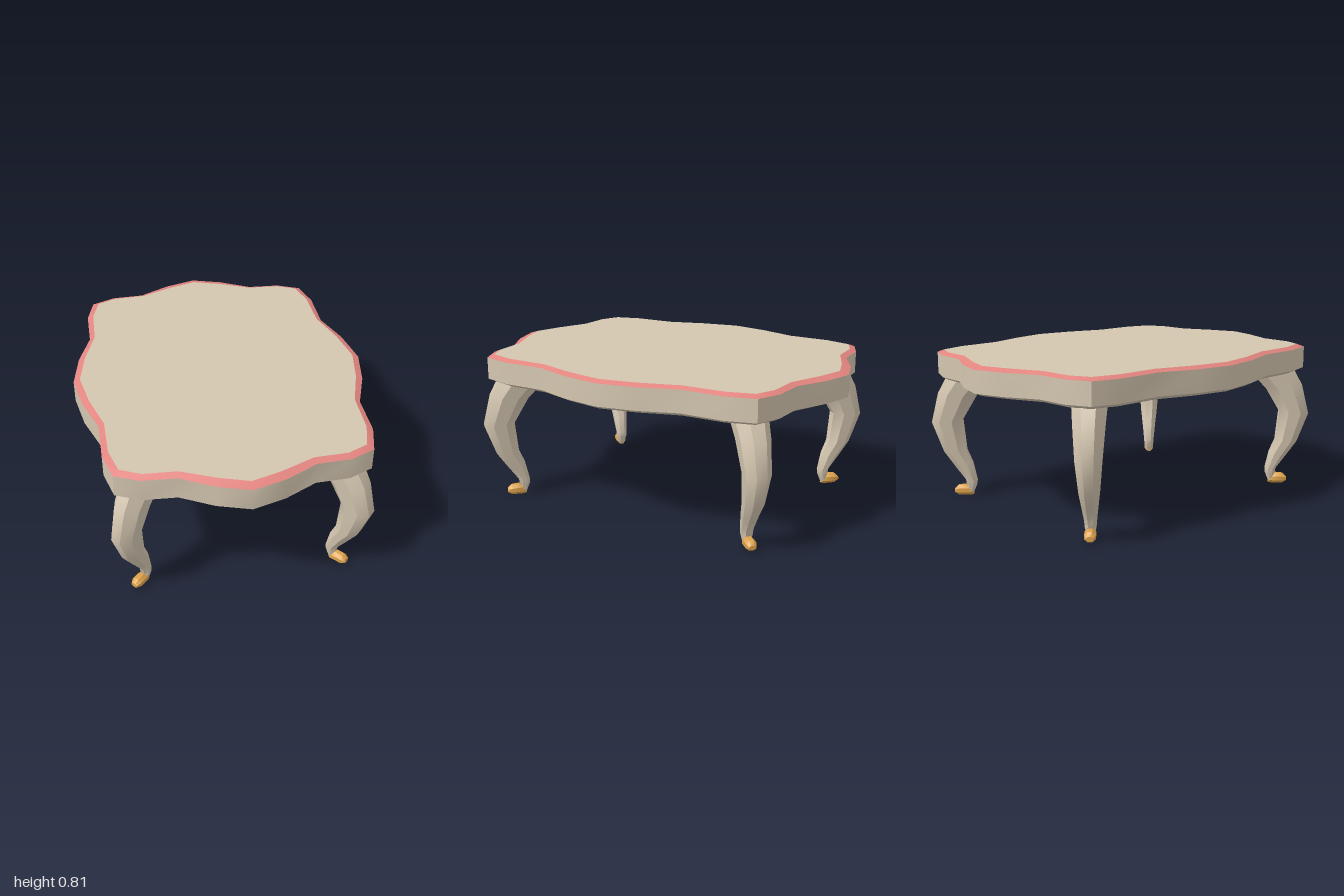
import * as THREE from 'three';
import { toCreasedNormals } from 'three/addons/utils/BufferGeometryUtils.js';

const mat = (name, color) => {
  const m = new THREE.MeshStandardMaterial({ color });
  m.name = name;
  return m;
};

// Skin a list of equal-length rings; each ring runs counterclockwise about the direction of travel.
function loft(rings, capStart, capEnd, crease = 0.6) {
  const pos = [];
  const tri = (a, b, c) => pos.push(...a, ...b, ...c);
  const n = rings[0].length;
  for (let k = 0; k + 1 < rings.length; k++) {
    const a = rings[k], b = rings[k + 1];
    for (let i = 0; i < n; i++) {
      const j = (i + 1) % n;
      tri(a[i], a[j], b[j]);
      tri(a[i], b[j], b[i]);
    }
  }
  const cap = (ring, flip) => {
    const c = [0, 1, 2].map((d) => ring.reduce((s, p) => s + p[d], 0) / n);
    for (let i = 0; i < n; i++) {
      const p = ring[i], q = ring[(i + 1) % n];
      flip ? tri(c, q, p) : tri(c, p, q);
    }
  };
  if (capStart) cap(rings[0], true);
  if (capEnd) cap(rings[rings.length - 1], false);
  const g = new THREE.BufferGeometry();
  g.setAttribute('position', new THREE.Float32BufferAttribute(pos, 3));
  return toCreasedNormals(g, crease);
}

// Quarter outlines of the tabletop as [x, z], from the front point to the side point
const OUTER = [[0, 1], [0.165, 0.95], [0.33, 0.863], [0.5, 0.855], [0.625, 0.8],
  [0.665, 0.645], [0.665, 0.41], [0.735, 0.21], [0.772, 0]];
const INNER = [[0, 0.952], [0.15, 0.905], [0.322, 0.83], [0.492, 0.822], [0.595, 0.775],
  [0.633, 0.637], [0.638, 0.405], [0.702, 0.2], [0.738, 0]];

function outline(q, y) {
  const r = [...q].reverse();
  return [
    ...r.map(([x, z]) => [x, y, -z]),
    ...q.slice(1).map(([x, z]) => [-x, y, -z]),
    ...r.slice(1).map(([x, z]) => [-x, y, z]),
    ...q.slice(1, -1).map(([x, z]) => [x, y, z]),
  ];
}

// Leg sections: outer x, outer y, inner x, inner y, half width
const LEG = [
  [0.6, 0.67, 0.365, 0.67, 0.085],
  [0.632, 0.58, 0.445, 0.56, 0.076],
  [0.658, 0.415, 0.505, 0.425, 0.064],
  [0.612, 0.25, 0.497, 0.255, 0.05],
  [0.562, 0.155, 0.479, 0.185, 0.04],
  [0.526, 0.088, 0.465, 0.085, 0.031],
  [0.523, 0.06, 0.467, 0.06, 0.029],
  [0.515, 0.054, 0.488, 0.005, 0.022],
];
const TOE = [
  [0.508, 0.053, 0.486, 0.004, 0.021],
  [0.522, 0.058, 0.496, 0, 0.028],
  [0.548, 0.054, 0.545, 0, 0.028],
  [0.562, 0.036, 0.562, 0.012, 0.018],
];

// Eight-sided section lying in the vertical plane that runs diagonally outward
function section([xo, yo, xi, yi, w], sx, sz) {
  const cx = (xo + xi) / 2, cy = (yo + yi) / 2;
  let hx = (xo - xi) / 2;
  const hy = (yo - yi) / 2;
  hx -= 0.29 * w * hx / Math.hypot(hx, hy);
  const ring = [];
  for (let i = 0; i < 8; i++) {
    const t = (i + 0.5) * Math.PI / 4 * sx * sz;
    const c = Math.cos(t) / 0.924, v = Math.sin(t) / 0.924 * w * Math.SQRT1_2;
    ring.push([sx * (cx + hx * c - v), cy + hy * c, sz * (cx + 0.2 + hx * c + v)]);
  }
  return ring;
}

export function createModel() {
  const model = new THREE.Group();
  model.name = 'table';
  const cream = mat('cream wood', 0xd4c6b0);
  const rose = mat('rose trim', 0xe2847f);
  const gold = mat('gold', 0xdca24c);
  const add = (parent, name, geometry, material) => {
    const m = new THREE.Mesh(geometry, material);
    m.name = name;
    parent.add(m);
  };

  // Tabletop: underside and side wall, coloured bevel, flat panel
  add(model, 'apron', loft([outline(INNER, 0.662), outline(OUTER, 0.68), outline(OUTER, 0.797)], true, false), cream);
  add(model, 'trim', loft([outline(OUTER, 0.797), outline(INNER, 0.811)], false, false), rose);
  add(model, 'topPanel', loft([outline(INNER, 0.811)], false, true), cream);

  // Four curved legs with gilded toes
  for (const sx of [1, -1]) {
    for (const sz of [1, -1]) {
      const leg = new THREE.Group();
      leg.name = (sz > 0 ? 'front' : 'back') + (sx > 0 ? 'Left' : 'Right') + 'Leg';
      add(leg, 'legShaft', loft(LEG.map((r) => section(r, sx, sz)), true, true), cream);
      add(leg, 'toe', loft(TOE.map((r) => section(r, sx, sz)), true, true), gold);
      model.add(leg);
    }
  }
  return model;
}
